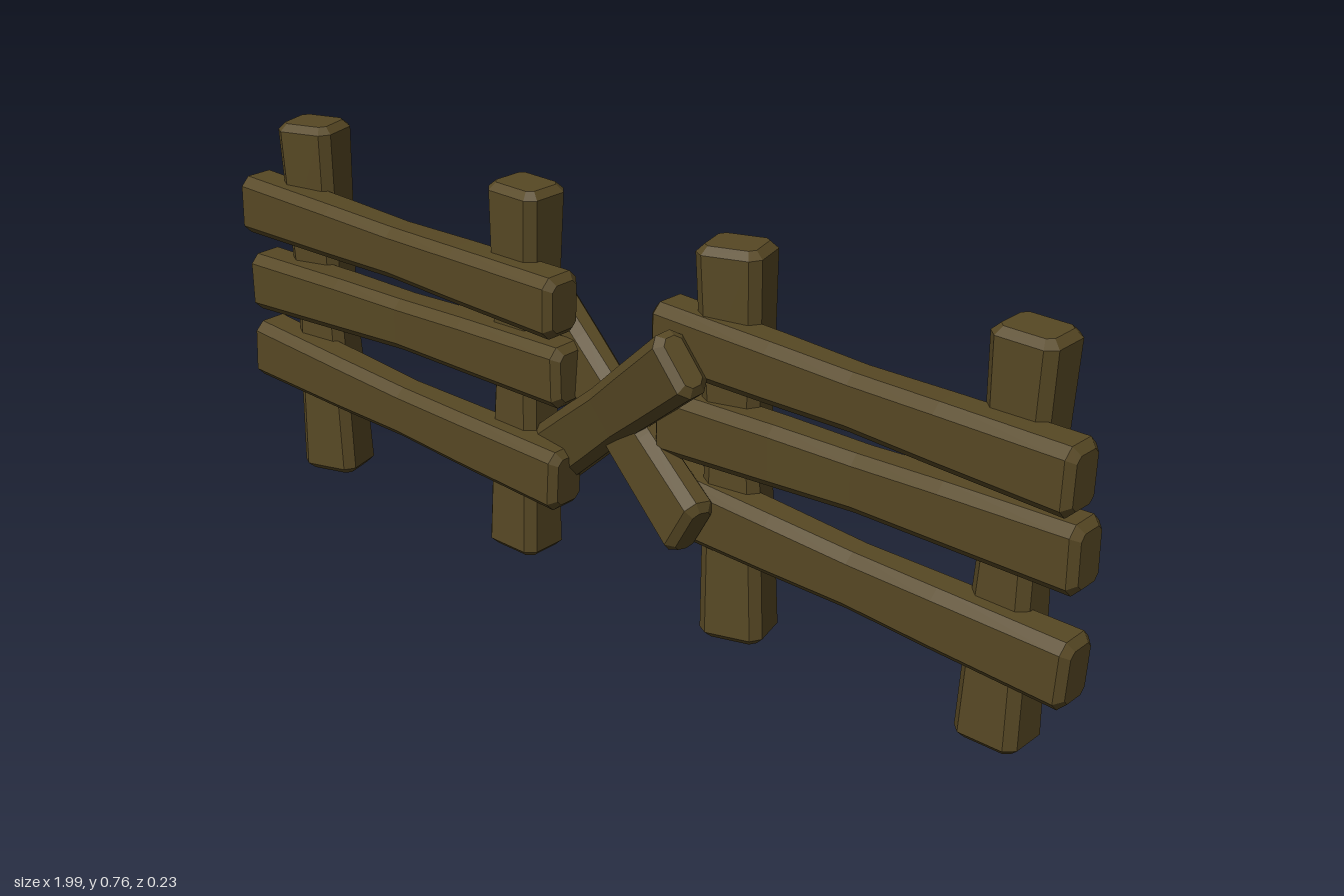
import * as THREE from 'three';

// Chamfered timber from a to b: width w, depth d, slimmer in the middle, twisted about its length
function timberGeometry(a, b, w, d, { twist = 0, sag = 0, pinch = 0.88 } = {}) {
  const A = new THREE.Vector3(...a), B = new THREE.Vector3(...b);
  const u = B.clone().sub(A), len = u.length();
  u.normalize();
  const v = new THREE.Vector3(0, 0, 1).cross(u).normalize().applyAxisAngle(u, twist);
  const n = u.clone().cross(v);
  const c = 0.018, bevel = 0.014 / len;

  // stations along the timber: [position, scale, end inset]
  const stations = [
    [0, 1, 0.014], [bevel, 1, 0], [0.3, (1 + pinch) / 2, 0], [0.5, pinch, 0],
    [0.7, (1 + pinch) / 2, 0], [1 - bevel, 1, 0], [1, 1, 0.014],
  ];
  const rings = stations.map(([t, s, inset]) => {
    const p = w / 2 * s - inset, q = d / 2 * s - inset;
    const k = inset ? c * 0.6 : c;
    const centre = A.clone().lerp(B, t);
    centre.y += sag * Math.sin(Math.PI * t);
    return [
      [p, -q + k], [p, q - k], [p - k, q], [-p + k, q],
      [-p, q - k], [-p, -q + k], [-p + k, -q], [p - k, -q],
    ].map(([x, y]) => centre.clone().addScaledVector(v, x).addScaledVector(n, y));
  });

  const pos = [];
  const tri = (...pts) => pts.forEach((p) => pos.push(p.x, p.y, p.z));
  for (let r = 0; r < rings.length - 1; r++) {
    for (let i = 0; i < 8; i++) {
      const j = (i + 1) % 8, lo = rings[r], hi = rings[r + 1];
      tri(lo[i], lo[j], hi[j]);
      tri(lo[i], hi[j], hi[i]);
    }
  }
  // end caps
  const first = rings[0], last = rings[rings.length - 1];
  for (let i = 1; i < 7; i++) {
    tri(first[0], first[i + 1], first[i]);
    tri(last[0], last[i], last[i + 1]);
  }
  const g = new THREE.BufferGeometry();
  g.setAttribute('position', new THREE.Float32BufferAttribute(pos, 3));
  g.computeVertexNormals();
  return g;
}

export function createModel() {
  const model = new THREE.Group();
  model.name = 'brokenFence';
  const wood = new THREE.MeshStandardMaterial({ color: 0x574824 });
  wood.name = 'darkWood';

  const add = (name, ...args) => {
    const mesh = new THREE.Mesh(timberGeometry(...args), wood);
    mesh.name = name;
    model.add(mesh);
  };

  // Upright posts: bottom x, top x, z, twist
  [
    [-0.838, -0.862, -0.036, 0.26],
    [-0.28, -0.264, -0.034, 0],
    [0.264, 0.24, -0.036, 0.26],
    [0.82, 0.836, -0.046, 0],
  ].forEach(([x0, x1, z, twist], i) =>
    add(`post${i + 1}`, [x0, 0, z], [x1, 0.76, z], 0.126, 0.108, { twist, pinch: 0.84 }));

  // Left rails
  add('leftSideTopRail', [-0.997, 0.576, 0.018], [-0.12, 0.562, 0.018], 0.122, 0.092);
  add('leftSideMiddleRail', [-0.985, 0.408, 0.016], [-0.108, 0.425, 0.012], 0.122, 0.09, { sag: 0.004 });
  add('leftSideBottomRail', [-0.988, 0.258, 0.016], [-0.115, 0.21, 0.016], 0.124, 0.09, { sag: -0.004 });

  // Right rails
  add('rightSideTopRail', [0.105, 0.575, 0.0], [0.98, 0.56, 0.02], 0.124, 0.09);
  add('rightSideMiddleRail', [0.115, 0.408, 0.0], [0.99, 0.421, 0.001], 0.126, 0.09, { sag: 0.004 });
  add('rightSideBottomRail', [0.11, 0.258, 0.0], [0.988, 0.21, 0.001], 0.128, 0.09, { sag: -0.002 });

  // Crossed boards closing the gap
  add('frontCrossBoard', [-0.22, 0.205, -0.04], [0.222, 0.568, 0.084], 0.126, 0.068, { pinch: 0.9 });
  add('backCrossBoard', [-0.295, 0.536, -0.088], [0.236, 0.238, 0.068], 0.13, 0.068, { pinch: 0.9 });

  return model;
}
